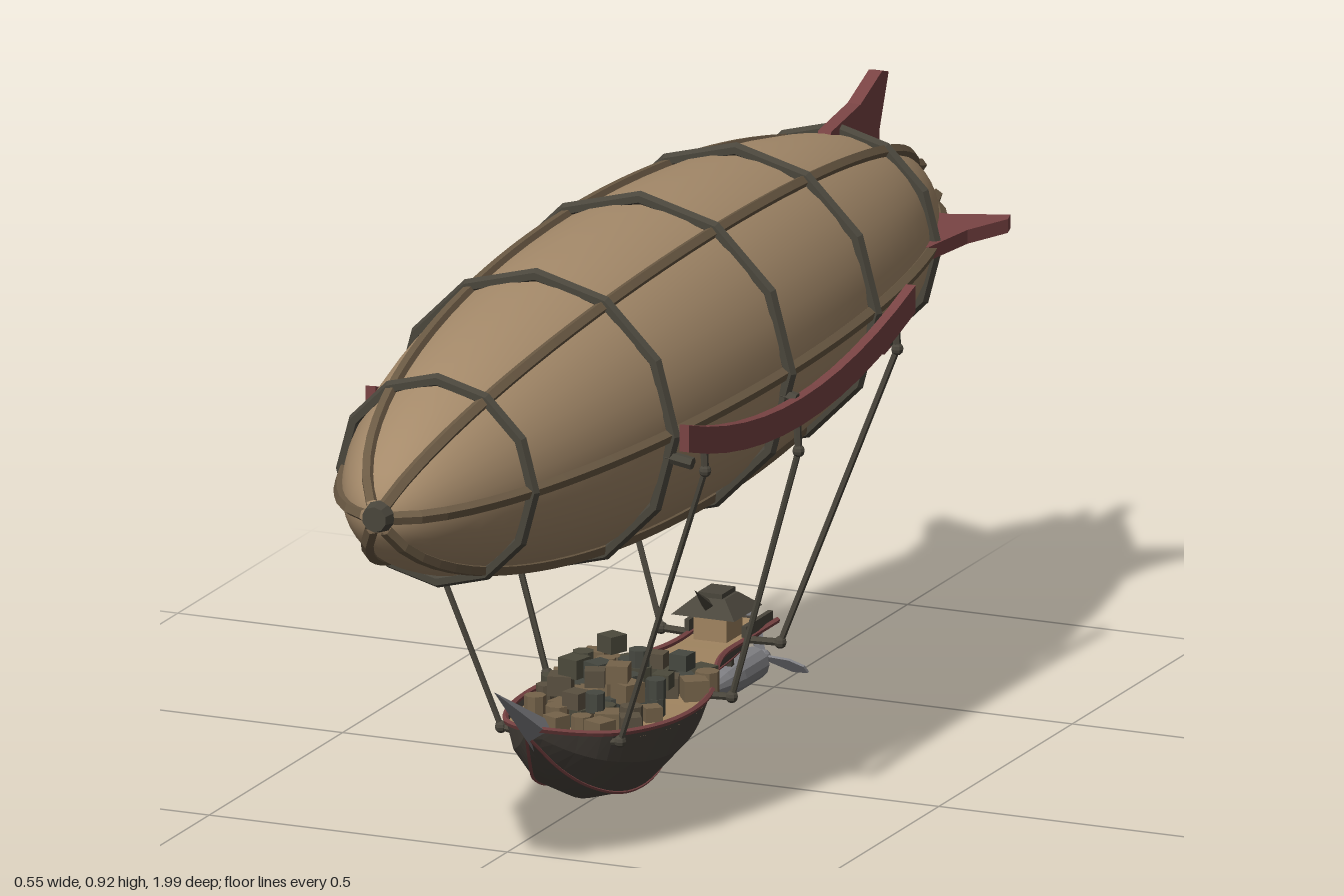
import * as THREE from 'three';

const V = (x, y, z) => new THREE.Vector3(x, y, z);
const mat = (color, flatShading = false, side = THREE.FrontSide) =>
  new THREE.MeshStandardMaterial({ color, flatShading, side });
const canvas = mat(0xa58a6a);
const dark = mat(0x4a463c, true);
const red = mat(0x7a4444, true);
const hullMat = mat(0x4b453e, true, THREE.DoubleSide);
const wood = mat(0xa08460, true, THREE.DoubleSide);
const steel = mat(0x808084, true, THREE.DoubleSide);

const CY = 0.67, RAD = 0.24, HALF = 0.985;
const radiusAt = z => RAD * Math.sqrt(Math.max(0, 1 - (z / HALF) ** 2));

function add(parent, name, geometry, material, x = 0, y = 0, z = 0) {
  const m = new THREE.Mesh(geometry, material);
  m.name = name;
  m.position.set(x, y, z);
  parent.add(m);
  return m;
}

// Straight rod between two points
function rod(parent, name, a, b, r, material, sides = 6) {
  const d = b.clone().sub(a);
  const m = add(parent, name, new THREE.CylinderGeometry(r, r, d.length(), sides), material);
  m.position.copy(a).add(b).multiplyScalar(0.5);
  m.quaternion.setFromUnitVectors(V(0, 1, 0), d.normalize());
  return m;
}

// Flat plate cut from an outline, centred on its thickness
function plate(points, depth) {
  const s = new THREE.Shape(points.map(p => new THREE.Vector2(...p)));
  return new THREE.ExtrudeGeometry(s, { depth, bevelEnabled: false }).translate(0, 0, -depth / 2);
}

function buildEnvelope(root) {
  const g = new THREE.Group();
  g.name = 'envelope';
  g.position.y = CY;
  root.add(g);
  const profile = [];
  for (let i = 0; i <= 36; i++) {
    const a = -Math.PI / 2 + Math.PI * i / 36;
    profile.push(new THREE.Vector2(Math.max(0, RAD * Math.cos(a)), HALF * Math.sin(a)));
  }
  add(g, 'gasBag', new THREE.LatheGeometry(profile, 36).rotateX(Math.PI / 2), canvas);

  // Twelve-sided hoops
  for (const z of [0.76, 0.39, 0, -0.36, -0.73])
    add(g, 'hoop', new THREE.TorusGeometry(radiusAt(z) / 0.966 + 0.002, 0.011, 6, 12), dark, 0, 0, z);

  // Six ribs from nose to tail, with tips lifting off the tail
  const path = [];
  for (let i = 0; i <= 24; i++) {
    const z = HALF * Math.cos(0.09 + 2.8 * i / 24);
    path.push(V(radiusAt(z) + 0.002, 0, z));
  }
  path.push(V(0.052, 0, -0.99));
  const rib = new THREE.TubeGeometry(new THREE.CatmullRomCurve3(path), 48, 0.011, 5);
  const ribMat = mat(0x6b5a44, true, THREE.DoubleSide);
  for (let i = 0; i < 6; i++) add(g, 'rib', rib, ribMat).rotation.z = i * Math.PI / 3;

  add(g, 'noseCap', new THREE.CylinderGeometry(0.02, 0.028, 0.03, 10).rotateX(Math.PI / 2), dark, 0, 0, 0.985);

  // Tail fins: outline is (distance back, distance out)
  const upper = [[0.67, 0.13], [0.69, 0.175], [0.80, 0.19], [0.88, 0.222], [0.905, 0.215], [0.87, 0.13], [0.87, 0.07], [0.72, 0.07]];
  const lower = [[0.62, 0.175], [0.78, 0.205], [0.89, 0.232], [0.92, 0.225], [0.86, 0.12], [0.84, 0.07], [0.70, 0.07]];
  for (let i = 0; i < 4; i++) {
    const fin = plate(i === 3 ? lower : upper, 0.022).rotateY(Math.PI / 2);
    add(g, 'tailFin', fin, red).rotation.z = [0, Math.PI / 2, -Math.PI / 2, Math.PI][i];
  }
}

// Curved side boards that carry the ropes
function buildSideBoards(root) {
  const top = [], bottom = [];
  for (let i = 0; i <= 12; i++) {
    const z = -0.425 + 0.85 * i / 12;
    const y = 0.59 + 0.068 * (z / 0.425) ** 2;
    bottom.push([-z, y]);
    top.unshift([-z, y + 0.043]);
  }
  const geo = plate([...bottom, ...top], 0.016).rotateY(Math.PI / 2);
  for (const s of [-1, 1]) {
    add(root, 'sideBoard', geo, red, s * 0.263, 0, 0);
    for (const z of [0.39, 0, -0.36])
      rod(root, 'boardBracket', V(s * (radiusAt(z) - 0.02), 0.64, z), V(s * 0.262, 0.63, z), 0.01, dark);
  }
}

// Hull stations: z, half width, deck height, keel height
const stations = [
  [0.42, 0.006, 0.185, 0.165], [0.36, 0.05, 0.168, 0.10], [0.3, 0.092, 0.157, 0.055], [0.2, 0.127, 0.15, 0.016],
  [0.1, 0.135, 0.148, 0.014], [0, 0.118, 0.147, 0.048], [-0.1, 0.08, 0.147, 0.085], [-0.2, 0.05, 0.147, 0.1],
  [-0.3, 0.048, 0.147, 0.11], [-0.39, 0.055, 0.152, 0.135]];
const shapeCurve = new THREE.CatmullRomCurve3(stations.map(s => V(s[1], s[2], s[0])));
const keelCurve = new THREE.CatmullRomCurve3(stations.map(s => V(0, s[3], s[0])));
const N = 32;
function hullPoint(i, u, v) {
  const a = shapeCurve.getPoint(i / N), k = keelCurve.getPoint(i / N);
  return V(a.x * u, a.y + (k.y - a.y) * v, a.z);
}

// Skin lofted through cross-sections given as (width, depth) fractions
function loft(section) {
  const pos = [], index = [], n = section.length;
  for (let i = 0; i <= N; i++)
    for (const [u, v] of section) pos.push(...hullPoint(i, u, v).toArray());
  for (let i = 0; i < N; i++)
    for (let j = 0; j < n - 1; j++) {
      const a = i * n + j, b = a + n;
      index.push(a, a + 1, b, a + 1, b + 1, b);
    }
  const g = new THREE.BufferGeometry();
  g.setAttribute('position', new THREE.Float32BufferAttribute(pos, 3));
  g.setIndex(index);
  g.computeVertexNormals();
  return g;
}

function buildGondola(root) {
  const g = new THREE.Group();
  g.name = 'gondola';
  root.add(g);
  add(g, 'hull', loft([[1, 0], [0.86, 0.45], [0.48, 0.87], [0, 1], [-0.48, 0.87], [-0.86, 0.45], [-1, 0]]), hullMat);
  add(g, 'deck', loft([[-0.97, 0.1], [0.97, 0.1]]), wood);
  const stern = stations[9];
  add(g, 'transom', plate([[-stern[1], 0.152], [-0.026, 0.137], [0.026, 0.137], [stern[1], 0.152]], 0.006), hullMat, 0, 0, -0.39);

  // Gunwale and keel trim
  for (const s of [-1, 1])
    for (const [name, u, v, r] of [['gunwale', 1, 0, 0.005], ['keelTrim', 0.48, 0.87, 0.003]]) {
      const pts = Array.from({ length: N + 1 }, (_, i) => hullPoint(i, s * u, v));
      add(g, name, new THREE.TubeGeometry(new THREE.CatmullRomCurve3(pts), 48, r, 5), red);
    }

  // Bow spike
  const spike = rod(g, 'bowSpike', V(0, 0.16, 0.375), V(0, 0.277, 0.55), 1, steel);
  spike.geometry = new THREE.ConeGeometry(0.03, 0.21, 4);
  spike.scale.x = 0.8;

  // Cargo of crates, sacks and barrels
  let seed = 7;
  const rand = () => (seed = (seed * 16807) % 2147483647) / 2147483647;
  const cargoMats = [0x5a5040, 0x4c4a3c, 0x75634a, 0x464840].map(c => mat(c, true));
  for (let layer = 0; layer < 3; layer++)
    for (let z = 0.27 - layer * 0.04; z > -0.1 + layer * 0.04; z -= 0.037) {
      const w = shapeCurve.getPoint((0.42 - z) / 0.81).x * 0.8 - layer * 0.028;
      for (let x = -w; x <= w; x += 0.038) {
        if (rand() < 0.18 + layer * 0.22) continue;
        const s = 0.026 + rand() * 0.012;
        const geo = rand() < 0.6 ? new THREE.BoxGeometry(s, s * 0.85, s) : new THREE.CylinderGeometry(s / 2, s / 2, s, 8);
        const m = add(g, 'cargo', geo, cargoMats[Math.floor(rand() * 4)], x + rand() * 0.012, 0.154 + layer * 0.028, z + rand() * 0.01);
        m.rotation.y = rand() * 1.5;
      }
    }

  // Helm shelter at the stern
  add(g, 'helmCabin', new THREE.BoxGeometry(0.055, 0.045, 0.06), wood, 0, 0.168, -0.29);
  add(g, 'helmRoof', new THREE.CylinderGeometry(0.035, 0.075, 0.025, 4).rotateY(Math.PI / 4), dark, 0, 0.202, -0.285);
  add(g, 'roofTop', new THREE.BoxGeometry(0.04, 0.012, 0.05), dark, 0, 0.216, -0.285);
  const horn = rod(g, 'roofHorn', V(0, 0.205, -0.25), V(0, 0.243, -0.2), 1, dark);
  horn.geometry = new THREE.ConeGeometry(0.01, 0.06, 4);
  for (const s of [-1, 1]) add(g, 'sternRail', new THREE.BoxGeometry(0.008, 0.018, 0.1), dark, s * 0.048, 0.16, -0.33);

  // Engine pod with a three-bladed propeller
  const pod = new THREE.Group();
  pod.name = 'engine';
  pod.position.set(0, 0.068, 0);
  g.add(pod);
  const profile = [[0, 0.24], [0.012, 0.262], [0.021, 0.3], [0.026, 0.34], [0.026, 0.425], [0.01, 0.43], [0.008, 0.47], [0, 0.475]];
  add(pod, 'engineBody', new THREE.LatheGeometry(profile.map(p => new THREE.Vector2(...p)), 12).rotateX(-Math.PI / 2), steel);
  rod(pod, 'engineStrut', V(0, 0, -0.33), V(0, 0.065, -0.32), 0.01, dark);
  add(pod, 'propellerHub', new THREE.SphereGeometry(0.012, 8, 6), steel, 0, 0, -0.46);
  const blade = plate([[-0.004, 0], [-0.013, 0.045], [-0.008, 0.07], [0.004, 0.076], [0.013, 0.05], [0.004, 0]], 0.004).rotateY(0.6);
  for (let i = 0; i < 3; i++)
    add(pod, 'propellerBlade', blade, steel, 0, 0, -0.46).rotation.z = 0.35 + (i * 2 * Math.PI) / 3;
}

// Ropes from the side boards down to outriggers on the hull
function buildRopes(root) {
  for (const s of [-1, 1])
    for (const [z1, y1, z0, x0, hull] of [[0.355, 0.61, 0.3, 0.1, 0.085], [0.005, 0.55, 0.005, 0.155, 0.11], [-0.365, 0.615, -0.3, 0.1, 0.04]]) {
      const a = V(s * 0.267, y1, z1), b = V(s * x0, 0.145, z0);
      rod(root, 'rope', a, b, 0.005, dark);
      rod(root, 'ropeHanger', a, V(s * 0.264, y1 + 0.06, z1), 0.006, dark);
      rod(root, 'outrigger', V(s * hull, 0.143, z0), b, 0.006, dark);
      for (const p of [a, b]) add(root, 'pulley', new THREE.SphereGeometry(0.01, 8, 6), dark, p.x, p.y, p.z);
    }
}

export function createModel() {
  const root = new THREE.Group();
  root.name = 'airship';
  buildEnvelope(root);
  buildSideBoards(root);
  buildGondola(root);
  buildRopes(root);
  return root;
}
